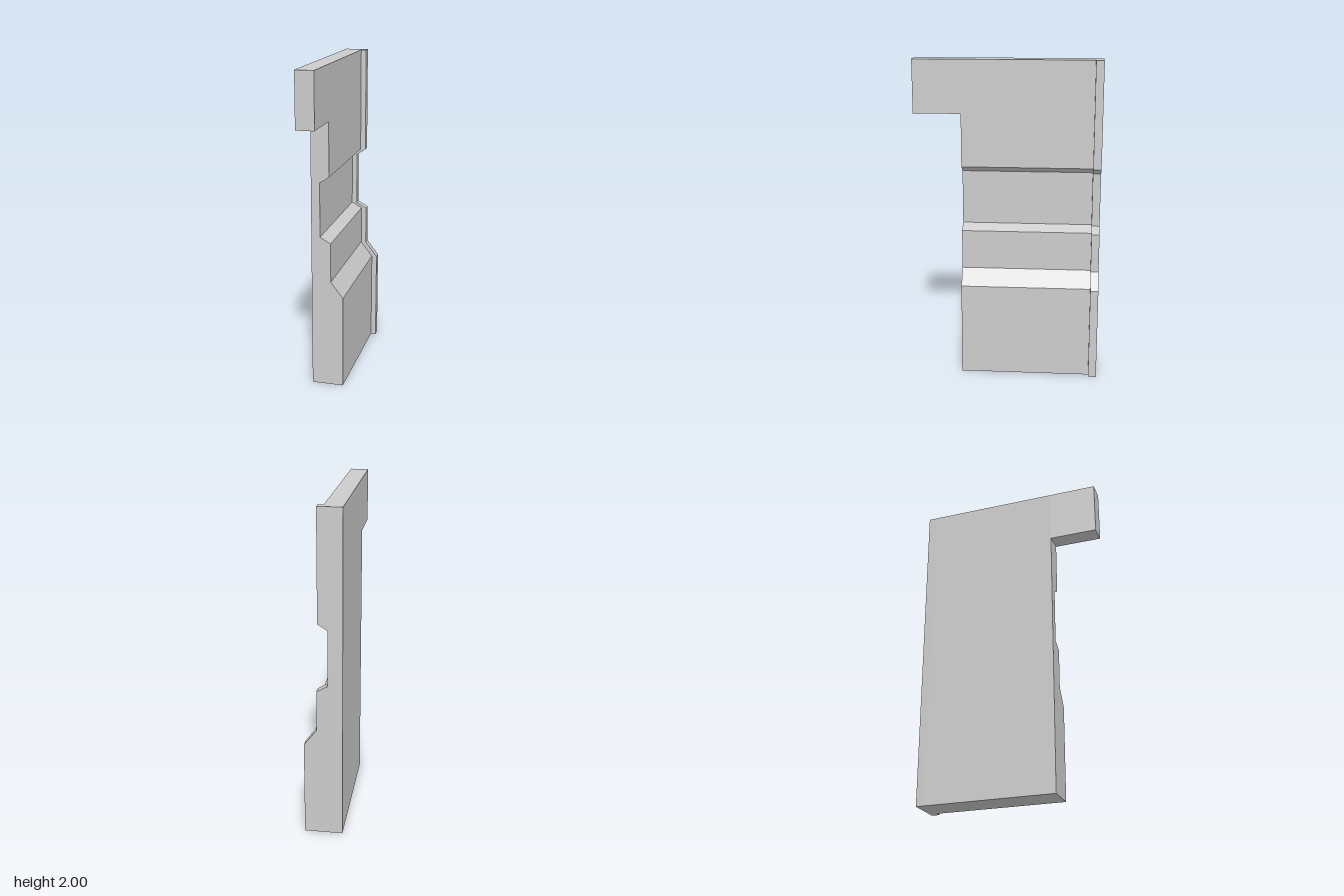
import * as THREE from 'three';

const BACK_X = -0.115;

// Stepped front edges, bottom to top, as [x, y]
const panelEdge = [
  [0.081, 0], [0.081, 0.585], [0.005, 0.685], [0.005, 0.93],
  [-0.061, 0.967], [-0.061, 1.303], [-0.004, 1.34], [-0.004, 2],
];
const rimEdge = [
  [0.114, 0], [0.114, 0.585], [0.037, 0.685], [0.037, 0.93],
  [-0.029, 0.967], [-0.029, 1.303], [0.029, 1.34], [0.029, 2],
];
const armEdge = [[-0.004, 1.67], [-0.004, 2]];

export function createModel() {
  const group = new THREE.Group();
  const material = new THREE.MeshStandardMaterial({ color: 0xcccccc, flatShading: true });

  // Closes an edge against the flat back and extrudes it from z0 to z1
  const slab = (name, edge, z0, z1) => {
    const bottom = edge[0][1], top = edge[edge.length - 1][1];
    const outline = [[BACK_X, bottom], ...edge, [BACK_X, top]];
    const shape = new THREE.Shape(outline.map(([x, y]) => new THREE.Vector2(x, y)));
    const geometry = new THREE.ExtrudeGeometry(shape, { depth: z1 - z0, bevelEnabled: false });
    geometry.translate(0, 0, z0);
    const mesh = new THREE.Mesh(geometry, material);
    mesh.name = name;
    group.add(mesh);
  };

  slab('raisedRim', rimEdge, -0.58, -0.53);   // thicker strip along the rear edge
  slab('steppedPanel', panelEdge, -0.53, 0.285); // main wall panel
  slab('upperArm', armEdge, 0.285, 0.58);     // block projecting forward at the top

  return group;
}
